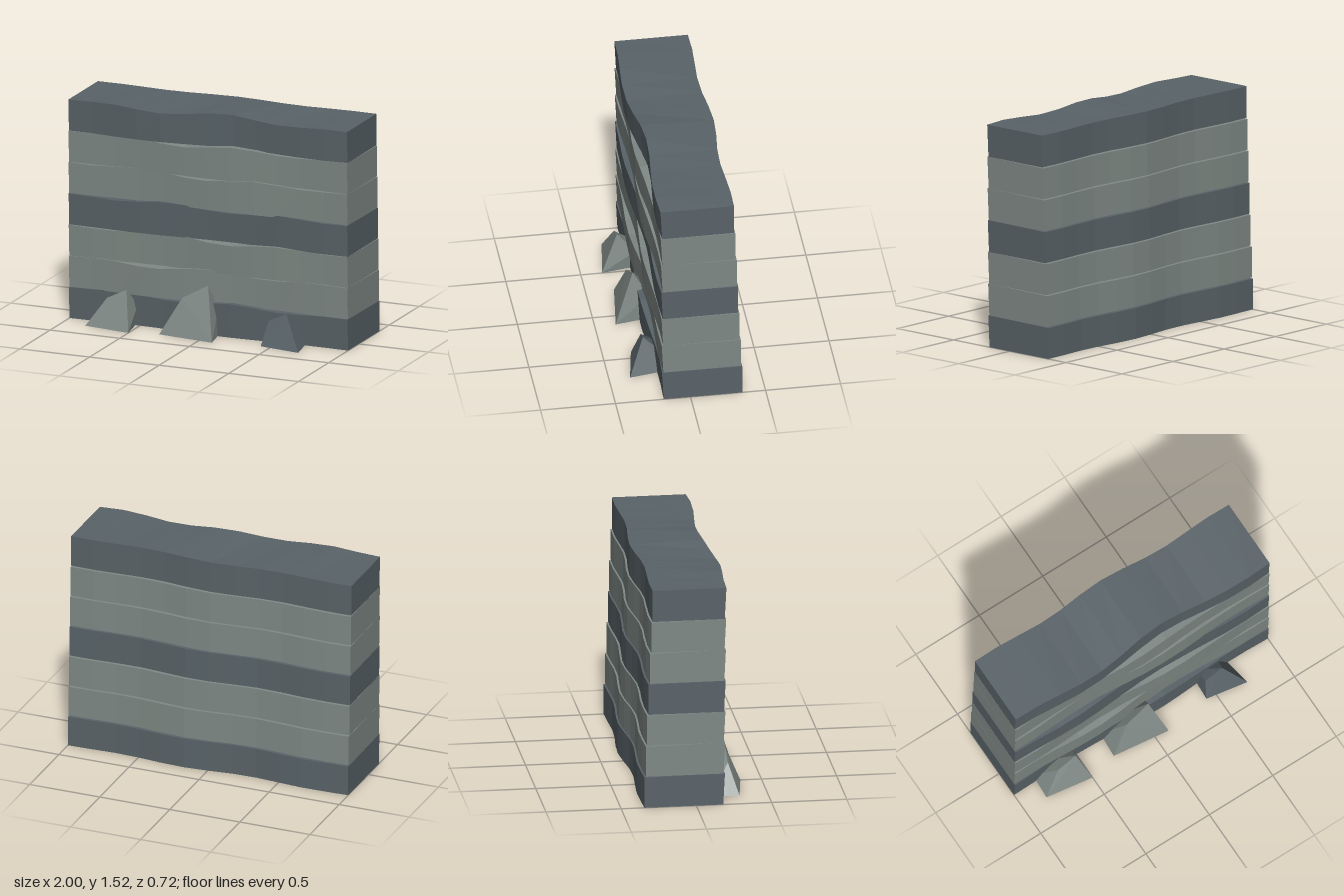
import * as THREE from 'three';
import { ConvexGeometry } from 'three/addons/geometries/ConvexGeometry.js';

const SEG = 12, COURSES = 7, H = 1.5 / COURSES;

// For each course, the x of its highest point and of its furthest forward bulge
const crest = [0.17, 0, -0.33, -0.3, 0.35, 0.2, 0.1];
const bulge = [0.15, -0.4, 0.4, -0.6, 0.2, 0, -0.52];

// Wave along x that dies out at the wall ends
const wave = (x, centre, rate, size) => size * Math.cos(rate * (x - centre)) * (1 - x * x);

// Sweep a four-cornered section along x: front bottom, front top, back top, back bottom
function courseGeometry(i) {
  const t = i / (COURSES - 1), y0 = i * H, y1 = y0 + H;
  const rows = [];
  for (let s = 0; s <= SEG; s++) {
    const x = -1 + 2 * s / SEG;
    const front = 0.19 + 0.01 * t + wave(x, bulge[i], 4.2, i === 6 ? 0.035 : 0.02);
    const back = -0.345 + 0.055 * t - wave(x, 0.2 * (1 - t), 6.3, 0.02);
    const frontTop = y1 + wave(x, crest[i], 7.4, 0.018);
    const backTop = y1 - (i < COURSES - 1 ? 0.006 : 0);
    rows.push([[x, y0, front - 0.011], [x, frontTop, front], [x, backTop, back], [x, y0, back]]);
  }
  const pos = [];
  const quad = (a, b, c, d) => pos.push(...a, ...b, ...c, ...a, ...c, ...d);
  for (let s = 0; s < SEG; s++) {
    for (let k = 0; k < 4; k++) {
      const n = (k + 1) % 4;
      quad(rows[s][k], rows[s + 1][k], rows[s + 1][n], rows[s][n]);
    }
  }
  quad(...rows[0]);
  quad(...rows[SEG].reverse());
  const geo = new THREE.BufferGeometry();
  geo.setAttribute('position', new THREE.Float32BufferAttribute(pos, 3));
  geo.computeVertexNormals();
  return geo;
}

// Faceted boulder leaning on the wall: foot from x0 to x1, shoulder and peak as [x, y, z]
function boulderGeometry(x0, x1, shoulder, peak) {
  const pts = [
    [x0, 0, 0.31], [x1, 0, 0.36], [x1 - 0.04, 0, 0.13], [x0 + 0.01, 0, 0.13],
    shoulder, peak, [peak[0] + 0.03, peak[1] * 0.5, 0.13], [shoulder[0], shoulder[1] * 0.6, 0.13],
  ];
  return new ConvexGeometry(pts.map(p => new THREE.Vector3(...p)));
}

export function createModel() {
  const root = new THREE.Group();
  root.name = 'layeredRockWall';
  const dark = new THREE.MeshStandardMaterial({ color: 0x596368, flatShading: true });
  dark.name = 'darkStone';
  const light = new THREE.MeshStandardMaterial({ color: 0x7f8985, flatShading: true });
  light.name = 'lightStone';

  const add = (name, geo, mat) => {
    const mesh = new THREE.Mesh(geo, mat);
    mesh.name = name;
    root.add(mesh);
  };

  // Stone courses, every third one dark
  for (let i = 0; i < COURSES; i++) add(`stoneCourse${i + 1}`, courseGeometry(i), i % 3 === 0 ? dark : light);

  // Boulders at the foot of the front
  add('rightBoulder', boulderGeometry(-0.83, -0.5, [-0.7, 0.19, 0.25], [-0.56, 0.26, 0.25]), light);
  add('middleBoulder', boulderGeometry(-0.3, 0.1, [-0.16, 0.25, 0.25], [0.02, 0.35, 0.235]), light);
  add('leftBoulder', boulderGeometry(0.43, 0.72, [0.46, 0.16, 0.25], [0.59, 0.225, 0.255]), dark);
  return root;
}
